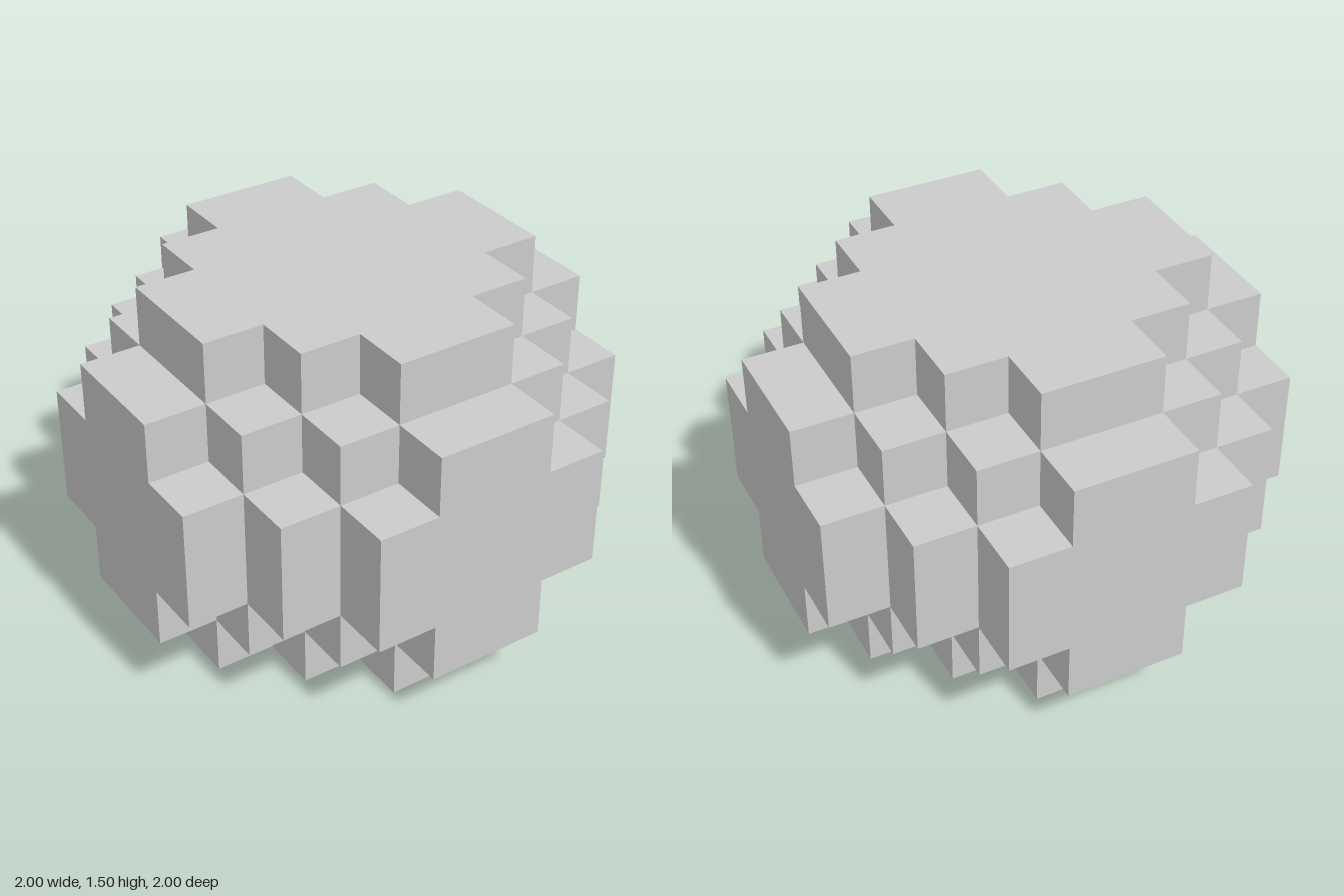
import * as THREE from 'three';
import { mergeGeometries } from 'three/addons/utils/BufferGeometryUtils.js';

const CELL = 0.25;
const HALF = { x: 4, y: 3, z: 4 }; // cells from the centre to each side

// Cell (i, j, k) spans i..i+1 etc.; its shell number counts outward from 1
const shell = (i) => (i >= 0 ? i + 1 : -i);

// A stepped ball: a box of cells with its edges and corners cut diagonally
function filled(i, j, k) {
  const a = shell(i), b = shell(j), c = shell(k);
  return a <= HALF.x && b <= HALF.y && c <= HALF.z && a + b + c <= 7;
}

// The six face directions with the rotation that turns a +z plane to face them
const SIDES = [
  { dir: [0, 0, 1], rot: [0, 0] },
  { dir: [0, 0, -1], rot: [0, Math.PI] },
  { dir: [1, 0, 0], rot: [0, Math.PI / 2] },
  { dir: [-1, 0, 0], rot: [0, -Math.PI / 2] },
  { dir: [0, 1, 0], rot: [-Math.PI / 2, 0] },
  { dir: [0, -1, 0], rot: [Math.PI / 2, 0] },
];

// Outer skin only: one square wherever a filled cell meets an empty one
function skinGeometry() {
  const squares = [];
  for (let i = -HALF.x; i < HALF.x; i++)
    for (let j = -HALF.y; j < HALF.y; j++)
      for (let k = -HALF.z; k < HALF.z; k++) {
        if (!filled(i, j, k)) continue;
        for (const { dir: [dx, dy, dz], rot } of SIDES) {
          if (filled(i + dx, j + dy, k + dz)) continue;
          squares.push(
            new THREE.PlaneGeometry(CELL, CELL)
              .rotateX(rot[0])
              .rotateY(rot[1])
              .translate(
                (i + 0.5 + dx / 2) * CELL,
                (j + 0.5 + dy / 2 + HALF.y) * CELL,
                (k + 0.5 + dz / 2) * CELL
              )
          );
        }
      }
  return mergeGeometries(squares);
}

export function createModel() {
  const group = new THREE.Group();
  group.name = 'steppedBall';
  const material = new THREE.MeshStandardMaterial({ color: 0xcccccc, flatShading: true });
  const ball = new THREE.Mesh(skinGeometry(), material);
  ball.name = 'blockBody';
  group.add(ball);
  return group;
}
